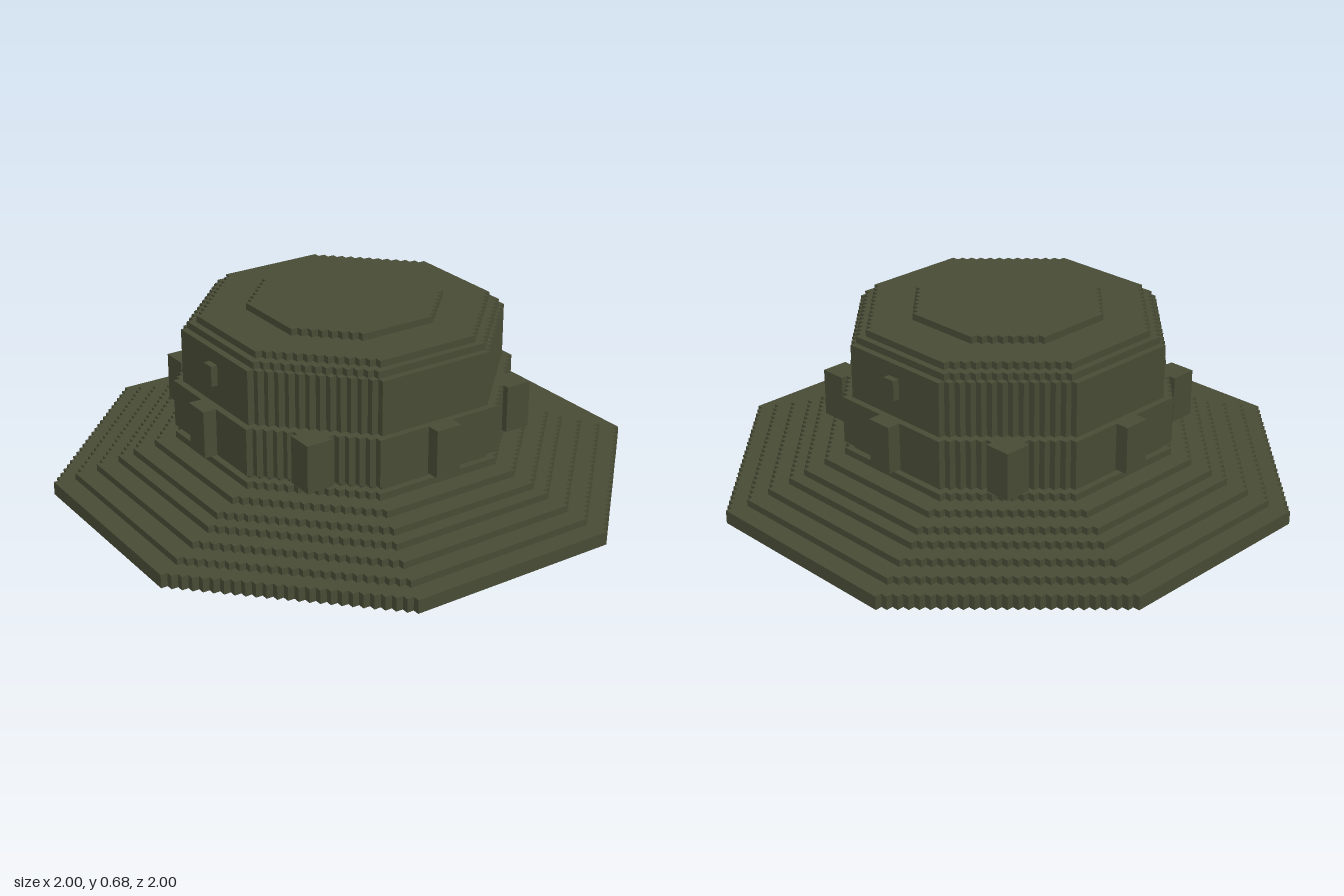
import * as THREE from 'three';

const U = 0.025; // size of one block

// Corner points of a block-stepped octagon with half-width n blocks
function octagon(n) {
  const flat = Math.round(0.4 * n + 0.4);
  const pts = [];
  for (let q = 0; q < 4; q++) {
    const c = Math.round(Math.cos(q * Math.PI / 2)), s = Math.round(Math.sin(q * Math.PI / 2));
    const add = (x, y) => pts.push(new THREE.Vector2((x * c - y * s) * U, (x * s + y * c) * U));
    add(n, -flat);
    add(n, flat);
    for (let x = n - 1, y = flat; x >= flat; x--, y++) {
      add(x, y);
      if (x > flat) add(x, y + 1);
    }
  }
  return pts;
}

export function createModel() {
  const hat = new THREE.Group();
  hat.name = 'hat';
  const olive = new THREE.MeshStandardMaterial({ color: 0x484b35 });
  olive.name = 'olive cloth';

  const add = (name, geometry) => {
    const mesh = new THREE.Mesh(geometry, olive);
    mesh.name = name;
    hat.add(mesh);
    return mesh;
  };

  // Octagonal slab from y0 to y1 (in blocks), optionally with a hole
  const slab = (name, n, y0, y1, hole = 0) => {
    const shape = new THREE.Shape(octagon(n));
    if (hole) shape.holes.push(new THREE.Path(octagon(hole).reverse()));
    const g = new THREE.ExtrudeGeometry(shape, { depth: (y1 - y0) * U, bevelEnabled: false });
    g.rotateX(-Math.PI / 2);
    g.translate(0, y0 * U, 0);
    add(name, g);
  };

  const box = (name, w, h, d, x, y, z) =>
    add(name, new THREE.BoxGeometry(w, h, d).translate(x, y, z));

  // Sloping brim: overlapping rings, hollow underneath
  const brim = [40, 37, 34, 31, 29, 26, 23];
  for (let i = 0; i < brim.length - 1; i++) slab('brimRing', brim[i], i, i + 2, brim[i + 1]);
  slab('brimInner', 23, 4, 8);

  // Crown with stepped top edge
  slab('crown', 22, 8, 24);
  slab('crownShoulder', 21, 24, 25);
  slab('crownTop', 20, 25, 26);
  slab('crownCap', 13, 26, 27);

  // Band with a loop on each of the eight sides
  slab('band', 23, 9, 16);
  const bandY = 12.5 * U, bandH = 7 * U;
  for (const s of [-1, 1]) {
    box('bandLoop', 0.1, bandH, 0.075, 0, bandY, s * 0.5875);
    box('bandLoop', 0.075, bandH, 0.1, s * 0.5875, bandY, 0);
    for (const t of [-1, 1]) box('bandLoopDiagonal', 0.1, bandH, 0.1, s * 0.425, bandY, t * 0.425);
    // Side vents
    box('sideVent', 0.05, 0.075, 0.05, s * 0.55, 0.5125, 0);
  }
  return hat;
}
